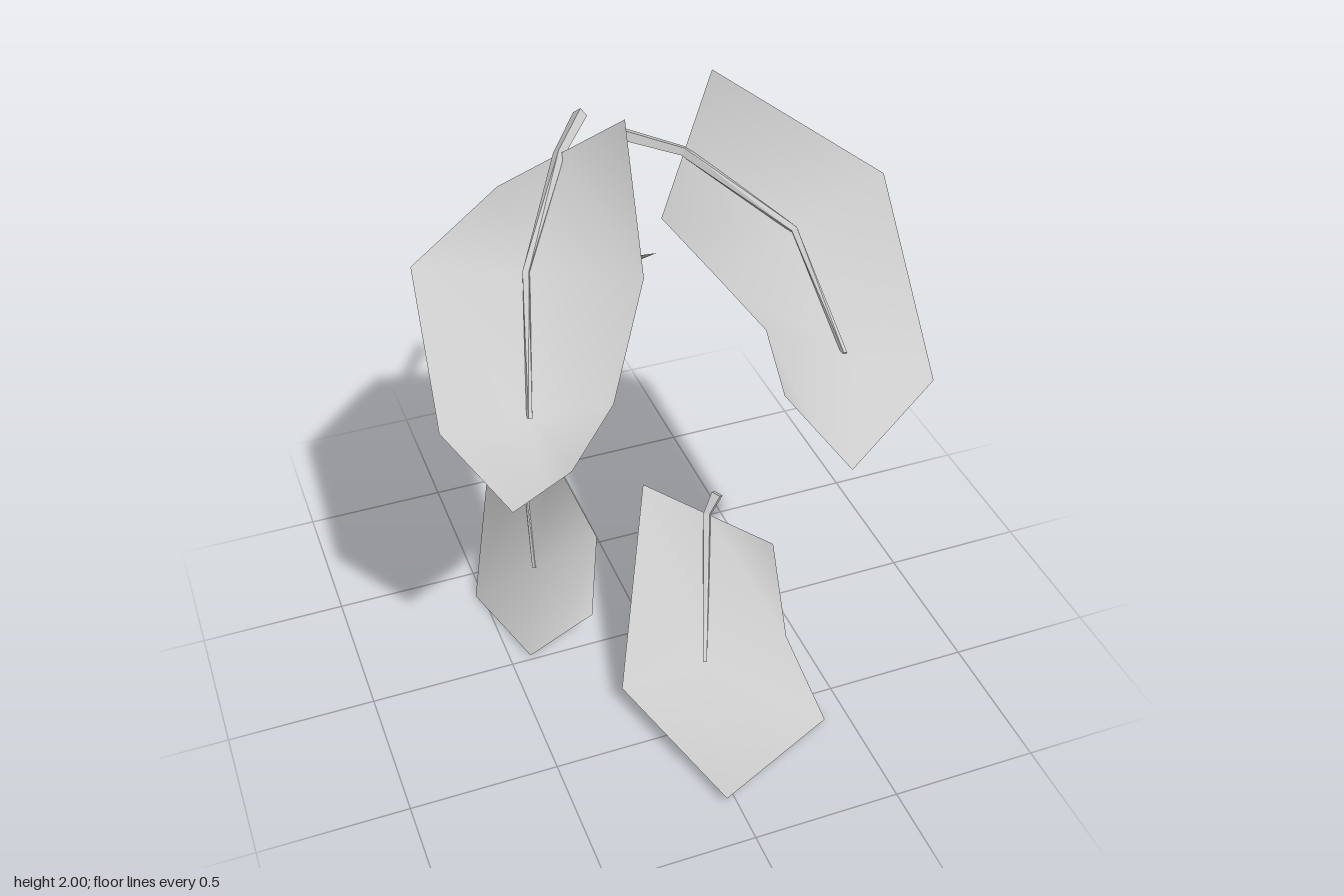
import * as THREE from 'three';

const V = (p) => new THREE.Vector3(...p);

// Blade: a thin sheet three vertices wide, smooth shaded
function bladeGeometry(left, ribs, right) {
  const points = ribs.flatMap((rib, i) => [left[i], rib, right[i]]);
  const index = [];
  for (let r = 0; r < ribs.length - 1; r++) {
    for (let c = 0; c < 2; c++) {
      const a = r * 3 + c;
      index.push(a, a + 3, a + 4, a, a + 4, a + 1);
    }
  }
  const geo = new THREE.BufferGeometry().setFromPoints(points);
  geo.setIndex(index);
  geo.computeVertexNormals();
  return geo;
}

// Stalk: a square section swept along the points, tapering to the end
function stalkGeometry(points, sides, r0, r1) {
  const corners = [], index = [], n = points.length;
  points.forEach((p, i) => {
    const t = points[Math.min(i + 1, n - 1)].clone().sub(points[Math.max(i - 1, 0)]).normalize();
    const u = sides[i].clone().projectOnPlane(t).normalize();
    const v = t.clone().cross(u);
    const radius = THREE.MathUtils.lerp(r0, r1, i / (n - 1));
    for (let k = 0; k < 4; k++) {
      const a = Math.PI / 4 + k * Math.PI / 2;
      corners.push(p.clone()
        .addScaledVector(u, radius * Math.cos(a))
        .addScaledVector(v, radius * Math.sin(a)));
      if (i < n - 1) {
        const A = i * 4 + k, B = i * 4 + (k + 1) % 4;
        index.push(A, B, B + 4, A, B + 4, A + 4);
      }
    }
  });
  const e = (n - 1) * 4;
  index.push(0, 2, 1, 0, 3, 2, e, e + 1, e + 2, e, e + 2, e + 3); // end caps
  const indexed = new THREE.BufferGeometry().setFromPoints(corners);
  indexed.setIndex(index);
  const geo = indexed.toNonIndexed();
  geo.computeVertexNormals();
  return geo;
}

// Leaf from its two edges, base to tip; the midrib lies between them at ratio rib.
// stem: where the stalk starts, if it reaches beyond the leaf base.
function createLeaf(name, { left, right, stem, rib = 0.5 }) {
  const l = left.map(V), r = right.map(V);
  const ribs = l.map((p, i) => p.clone().lerp(r[i], rib));

  const blade = new THREE.Mesh(
    bladeGeometry(l, ribs, r),
    new THREE.MeshStandardMaterial({ color: 0xcccccc, side: THREE.DoubleSide }),
  );
  blade.name = 'blade';

  // The stalk follows the midrib and stops one row short of the tip
  const points = ribs.slice(0, -1);
  const sides = points.map((p, i) => r[i].clone().sub(l[i]));
  if (stem) {
    points.unshift(V(stem));
    sides.unshift(sides[0]);
  }
  const stalk = new THREE.Mesh(
    stalkGeometry(points, sides, 0.023, 0.009),
    new THREE.MeshStandardMaterial({ color: 0xcccccc, flatShading: true }),
  );
  stalk.name = 'stalk';

  const leaf = new THREE.Group();
  leaf.name = name;
  leaf.add(blade, stalk);
  return leaf;
}

export function createModel() {
  const model = new THREE.Group();
  model.name = 'leaves';

  model.add(createLeaf('upperRightLeaf', {
    stem: [-0.05, 1.86, -0.45],
    left: [[-0.33, 1.65, -0.46], [-0.7, 1.63, -0.13], [-0.77, 1.4, 0.39], [-0.605, 1.165, 0.525]],
    right: [[-0.02, 2, -0.12], [-0.08, 1.65, 0.2], [-0.2, 1.26, 0.26], [-0.365, 1.105, 0.34]],
  }));

  model.add(createLeaf('upperLeftLeaf', {
    stem: [0.07, 1.78, -0.43],
    rib: 0.46,
    left: [[0.16, 1.53, -0.28], [0.215, 1.5, 0.07], [0.21, 1.55, 0.44], [0.16, 1.5, 0.69]],
    right: [[0.345, 2, -0.33], [0.77, 1.75, 0.05], [0.705, 1.34, 0.585], [0.345, 1.25, 0.785]],
  }));

  model.add(createLeaf('rearLeaf', {
    left: [[-0.16, 1.4, -0.315], [-0.325, 1, -0.37], [-0.245, 0.68, -0.25], [-0.135, 0.38, -0.125], [-0.2, 0.14, 0]],
    right: [[0.195, 1.31, -0.415], [0.035, 0.97, -0.81], [-0.295, 0.42, -0.855], [-0.525, 0, -0.38], [-0.43, 0.01, -0.01]],
  }));

  model.add(createLeaf('lowerFrontLeaf', {
    stem: [0.265, 0.56, 0],
    left: [[0.055, 0.53, -0.17], [-0.205, 0.085, 0.32], [-0.035, 0.03, 0.845]],
    right: [[0.39, 0.46, 0.205], [0.385, 0.165, 0.36], [0.415, 0.01, 0.63]],
  }));

  return model;
}
